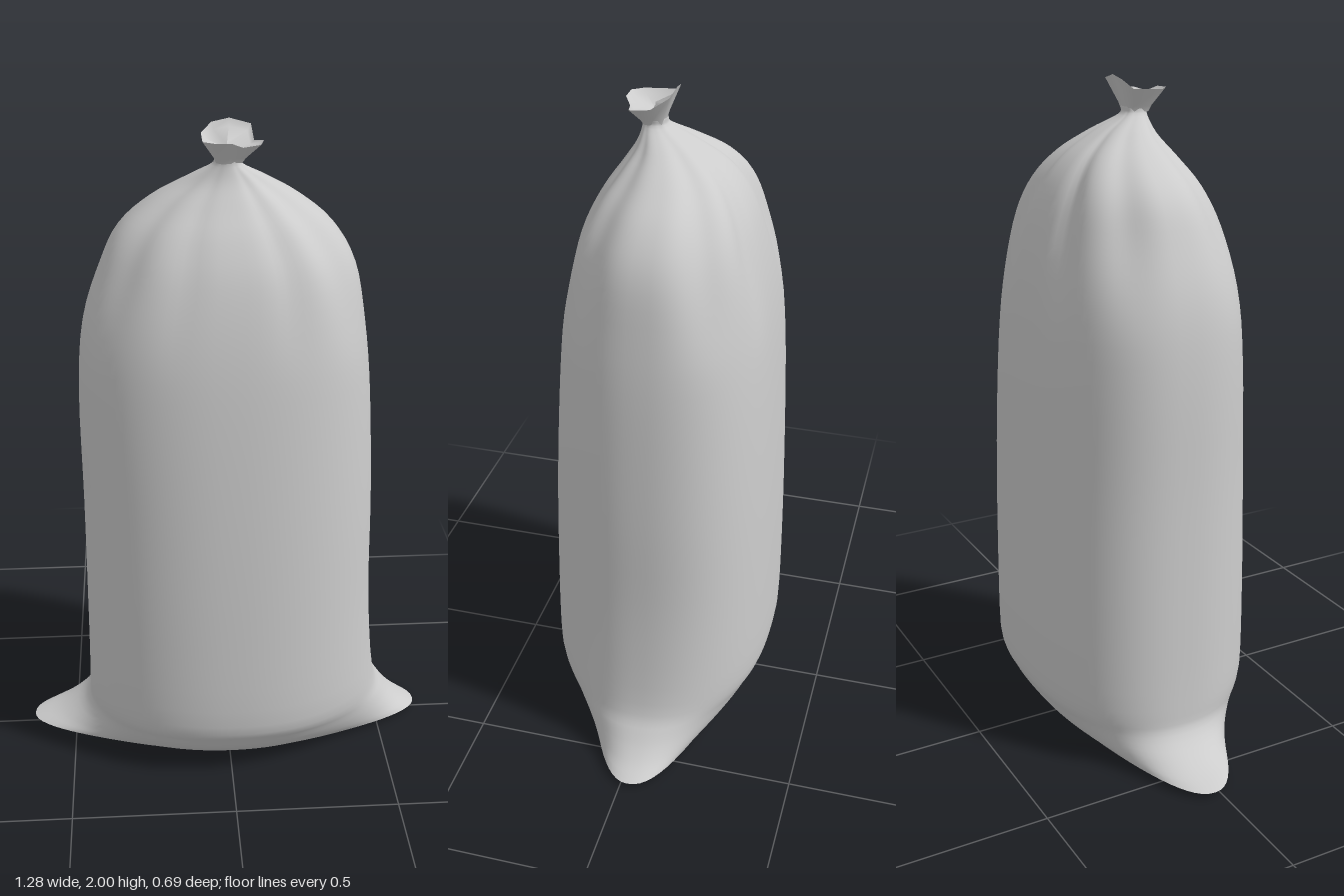
import * as THREE from 'three';

const SEGMENTS = 96;

// Closed loops stacked from bottom to top, joined into one smooth skin
function loft(loops, material, name) {
  const n = loops[0].length;
  const index = [];
  for (let i = 0; i < loops.length - 1; i++) {
    for (let j = 0; j < n; j++) {
      const a = i * n + j, b = i * n + (j + 1) % n;
      index.push(a, a + n, b, b, a + n, b + n);
    }
  }
  const geometry = new THREE.BufferGeometry().setFromPoints(loops.flat());
  geometry.setIndex(index);
  geometry.computeVertexNormals();
  const mesh = new THREE.Mesh(geometry, material);
  mesh.name = name;
  return mesh;
}

// Sack sections: y, xMin, xMax, zMin, zMax, front power, right ear, left ear
const SECTIONS = [
  [0.015, -0.445, 0.455, -0.25, 0.25, 0.95, 0.195, 0.185],
  [0.05, -0.445, 0.46, -0.285, 0.285, 0.95, 0.095, 0.12],
  [0.11, -0.445, 0.46, -0.315, 0.32, 0.93, 0.015, 0.065],
  [0.20, -0.445, 0.46, -0.34, 0.35, 0.92, 0.003, 0.025],
  [0.50, -0.443, 0.455, -0.342, 0.347, 0.9, 0, 0.003],
  [0.85, -0.44, 0.45, -0.335, 0.333, 0.88, 0, 0],
  [1.20, -0.44, 0.432, -0.32, 0.31, 0.85, 0, 0],
  [1.42, -0.42, 0.408, -0.297, 0.285, 0.82, 0, 0],
  [1.59, -0.365, 0.375, -0.26, 0.245, 0.8, 0, 0],
  [1.70, -0.31, 0.31, -0.218, 0.195, 0.82, 0, 0],
  [1.78, -0.22, 0.215, -0.158, 0.14, 0.88, 0, 0],
  [1.84, -0.12, 0.12, -0.075, 0.10, 1, 0, 0],
  [1.885, -0.045, 0.045, 0.005, 0.085, 1, 0, 0],
  [1.91, -0.035, 0.04, 0.015, 0.085, 1, 0, 0],
];
const BACK_POWER = 0.79;

// Gathered folds: angle in degrees, depth, half-width
const FOLDS = [
  [-27, 0.10, 11], [-60, 0.08, 9], [-120, 0.11, 9], [-157, 0.09, 11],
  [152, 0.08, 11], [118, 0.04, 9], [56, 0.06, 9], [28, 0.08, 11],
];

function foldScale(angle, y) {
  const fade = THREE.MathUtils.smoothstep(y, 1.3, 1.75)
    * (1 - 0.7 * THREE.MathUtils.smoothstep(y, 1.82, 1.9));
  let scale = 1;
  for (const [degrees, depth, width] of FOLDS) {
    let d = angle * 180 / Math.PI - degrees;
    d -= 360 * Math.round(d / 360);
    scale -= depth * fade * Math.exp(-((d / width) ** 2));
  }
  return scale;
}

function sectionLoop([y, x0, x1, z0, z1, frontPower, earRight, earLeft]) {
  const cx = (x0 + x1) / 2, cz = (z0 + z1) / 2;
  const low = Math.max(0, 1 - y / 0.2);
  const loop = [];
  for (let j = 0; j < SEGMENTS; j++) {
    const t = j / SEGMENTS * Math.PI * 2;
    const c = Math.cos(t), s = Math.sin(t);
    const power = s > 0 ? frontPower : BACK_POWER + 0.12 * low;
    const bend = v => Math.sign(v) * Math.abs(v) ** power;
    // Pointed ears pull the lower corners outward
    const ear = Math.sign(c) * (c > 0 ? earLeft : earRight) * Math.abs(c) ** 5;
    const dx = bend(c) * (x1 - x0) / 2 + ear;
    const dz = bend(s) * (z1 - z0) / 2;
    const k = foldScale(Math.atan2(dz, dx), y);
    // The hem arches up between the ears, whose tips sit slightly back
    const lift = 0.03 * low * s * s;
    const tip = -0.025 * low * c * c;
    loop.push(new THREE.Vector3(cx + dx * k, y + lift, cz + dz * k + tip));
  }
  return loop;
}

export function createModel() {
  const model = new THREE.Group();
  model.name = 'tiedSack';
  const cloth = new THREE.MeshStandardMaterial({ color: 0xcccccc, side: THREE.DoubleSide });
  cloth.name = 'greyCloth';

  // Body, with sections smoothly interpolated
  const spline = new THREE.CubicInterpolant(SECTIONS.map((_, i) => i), SECTIONS.flat(), 8);
  const loops = [];
  const steps = (SECTIONS.length - 1) * 4;
  for (let i = 0; i <= steps; i++) {
    loops.push(sectionLoop(Array.from(spline.evaluate(i / 4))));
  }
  model.add(loft(loops, cloth, 'body'));

  // Base, nearly flat and meeting the body at a crisp hem
  const hem = loops[0];
  const base = [[0, 0], [0.45, 0], [0.75, 0.08], [0.9, 0.4], [1, 1]].map(([s, h]) =>
    hem.map(p => new THREE.Vector3(p.x * s, p.y * h, p.z * s)));
  model.add(loft(base, cloth, 'base'));

  // Flared, ragged cloth above the neck
  const rim = [
    [0.10, 1.955, 0.065], [0.09, 1.95, 0.10], [0.04, 1.945, 0.11], [0.01, 1.96, 0.13],
    [-0.04, 1.962, 0.13], [-0.07, 1.96, 0.10], [-0.07, 1.965, 0.01], [-0.04, 1.99, -0.012],
    [0.01, 2.0, -0.015], [0.07, 1.985, -0.008], [0.075, 1.95, 0.045],
  ].map(p => new THREE.Vector3(...p));
  const ring = (spread, height) => rim.map(p => new THREE.Vector3(
    p.x * spread, 1.895 + (p.y - 1.895) * height, 0.05 + (p.z - 0.05) * spread));
  model.add(loft([ring(0.45, 0), ring(0.55, 0.25), ring(1, 1)], cloth, 'tiedTop'));

  // Shallow hollow inside the flare
  model.add(loft([rim, ring(0.85, 0.8), ring(0, 0.5)], cloth, 'tiedTopHollow'));

  return model;
}
